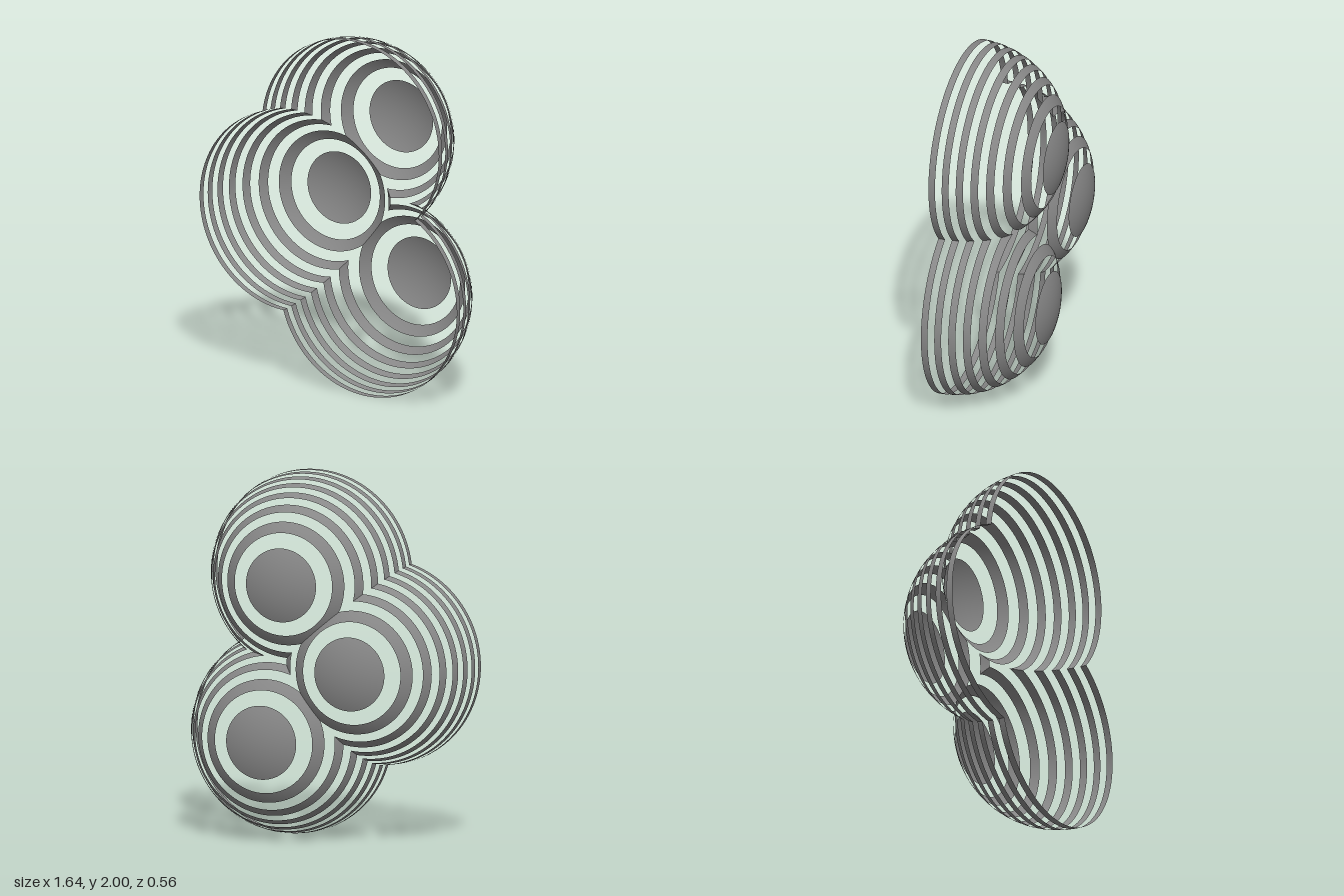
import * as THREE from 'three';

const R = 0.565;           // dome radius
const LAYERS = 15;         // equal slices; every other one is solid
const BASE_Z = R / 2;      // open rim faces the front
const DOMES = [
  { name: 'upperDome', x: 0.14, y: 1.435 },
  { name: 'rightDome', x: -0.256, y: 0.967 },
  { name: 'lowerDome', x: 0.255, y: 0.565 },
];

// Planes halfway to the neighbouring domes, where the domes meet
function seamsOf(dome) {
  return DOMES.filter((d) => d !== dome).map((d) => ({
    angle: Math.atan2(d.y - dome.y, d.x - dome.x),
    dist: Math.hypot(d.x - dome.x, d.y - dome.y) / 2,
  }));
}

// Farthest radius the dome reaches in a direction before a seam
function reach(seams, theta) {
  let limit = R;
  for (const s of seams) {
    const c = Math.cos(theta - s.angle);
    if (c > 1e-4) limit = Math.min(limit, s.dist / c);
  }
  return limit;
}

// One spherical band between two heights, trimmed at the seams
function bandGeometry(seams, h0, h1, rows) {
  const a0 = Math.asin(h0 / R);
  const a1 = Math.asin(Math.min(1, h1 / R));
  const full = Math.PI * 2;
  const thetas = [];
  for (let i = 0; i <= 180; i++) thetas.push((i / 180) * full);
  // exact directions where a seam crosses the band edges
  for (const s of seams) {
    for (const r of [R * Math.cos(a0), R * Math.cos(a1)]) {
      if (r <= s.dist) continue;
      const half = Math.acos(s.dist / r);
      for (const t of [s.angle - half, s.angle + half]) thetas.push((t + full * 2) % full);
    }
  }
  thetas.sort((a, b) => a - b);

  const pos = [], nor = [], index = [], radii = [];
  for (const t of thetas) {
    const limit = reach(seams, t);
    for (let k = 0; k <= rows; k++) {
      const r = Math.min(R * Math.cos(a0 + ((a1 - a0) * k) / rows), limit);
      const h = Math.sqrt(Math.max(0, R * R - r * r));
      const x = r * Math.cos(t), y = r * Math.sin(t);
      pos.push(x, y, -h);
      nor.push(x / R, y / R, -h / R);
      radii.push(r);
    }
  }
  // skip the quads that the seams have trimmed away
  const n = rows + 1;
  for (let i = 0; i < thetas.length - 1; i++) {
    for (let k = 0; k < rows; k++) {
      const a = i * n + k, b = a + n, c = a + 1, d = b + 1;
      const left = radii[a] - radii[c] > 1e-7;
      const right = radii[b] - radii[d] > 1e-7;
      if (left) index.push(a, c, b);
      if (left || right) index.push(b, c, d);
    }
  }
  const geo = new THREE.BufferGeometry();
  geo.setAttribute('position', new THREE.Float32BufferAttribute(pos, 3));
  geo.setAttribute('normal', new THREE.Float32BufferAttribute(nor, 3));
  geo.setIndex(index);
  return geo;
}

export function createModel() {
  const model = new THREE.Group();
  model.name = 'stripedDomes';
  const material = new THREE.MeshStandardMaterial({ color: 0x888888, side: THREE.DoubleSide });
  const step = R / LAYERS;

  for (const dome of DOMES) {
    const group = new THREE.Group();
    group.name = dome.name;
    group.position.set(dome.x, dome.y, BASE_Z);
    const seams = seamsOf(dome);
    for (let i = 0; i < LAYERS; i += 2) {
      const isCap = i === LAYERS - 1;
      const geo = bandGeometry(seams, i * step, (i + 1) * step, isCap ? 8 : 4);
      const mesh = new THREE.Mesh(geo, material);
      mesh.name = isCap ? 'cap' : `band${i / 2 + 1}`;
      group.add(mesh);
    }
    model.add(group);
  }
  return model;
}
